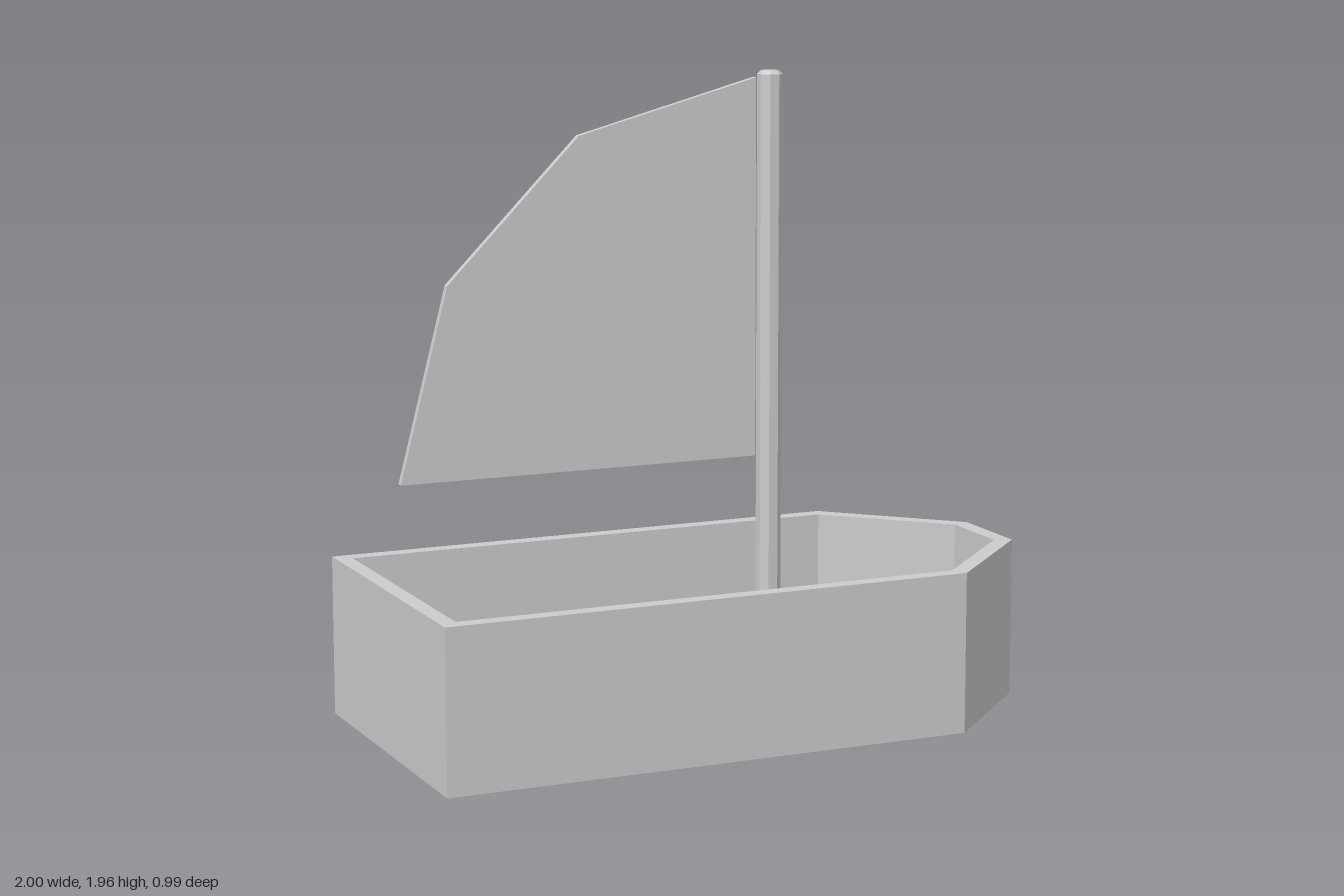
import * as THREE from 'three';

const HULL_TOP = 0.49, FLOOR = 0.045;

// Symmetric hull outline seen from above: square stern, chamfered blunt bow.
function outline(stern, shoulder, bow, halfBeam, halfBow) {
  return [
    [stern, -halfBeam], [shoulder, -halfBeam], [bow, -halfBow],
    [bow, halfBow], [shoulder, halfBeam], [stern, halfBeam],
  ].map(([x, y]) => new THREE.Vector2(x, y));
}

function extrude(shape, depth) {
  return new THREE.ExtrudeGeometry(shape, { depth, bevelEnabled: false });
}

export function createModel() {
  const model = new THREE.Group();
  model.name = 'sailboat';
  const material = new THREE.MeshStandardMaterial({ color: 0xcccccc, flatShading: true });

  function add(name, geometry, parent = model) {
    const mesh = new THREE.Mesh(geometry, material);
    mesh.name = name;
    parent.add(mesh);
    return mesh;
  }

  // Hull: a ring of walls over a thin floor
  const hull = new THREE.Group();
  hull.name = 'hull';
  model.add(hull);
  const outer = outline(-1, 0.645, 1, 0.497, 0.145);
  const inner = outline(-0.95, 0.623, 0.947, 0.447, 0.125);

  const wallShape = new THREE.Shape(outer);
  wallShape.holes.push(new THREE.Path(inner));
  add('hullWalls', extrude(wallShape, HULL_TOP).rotateX(-Math.PI / 2), hull);
  add('hullFloor', extrude(new THREE.Shape(inner), FLOOR).rotateX(-Math.PI / 2), hull);

  // Mast: octagonal pole with a small chamfer at the top
  const mastProfile = [[0, FLOOR], [0.038, FLOOR], [0.038, 1.948], [0.027, 1.959], [0, 1.959]]
    .map(([r, y]) => new THREE.Vector2(r, y));
  const mast = add('mast', new THREE.LatheGeometry(mastProfile, 8).rotateY(Math.PI / 8));
  mast.position.x = 0.229;

  // Sail: thin faceted panel standing just behind the mast
  const sailShape = new THREE.Shape([
    [-0.952, 0.797], [0.18, 0.797], [0.18, 1.94], [-0.39, 1.787], [-0.802, 1.37],
  ].map(([x, y]) => new THREE.Vector2(x, y)));
  add('sail', extrude(sailShape, 0.022).translate(0, 0, -0.013));

  return model;
}
